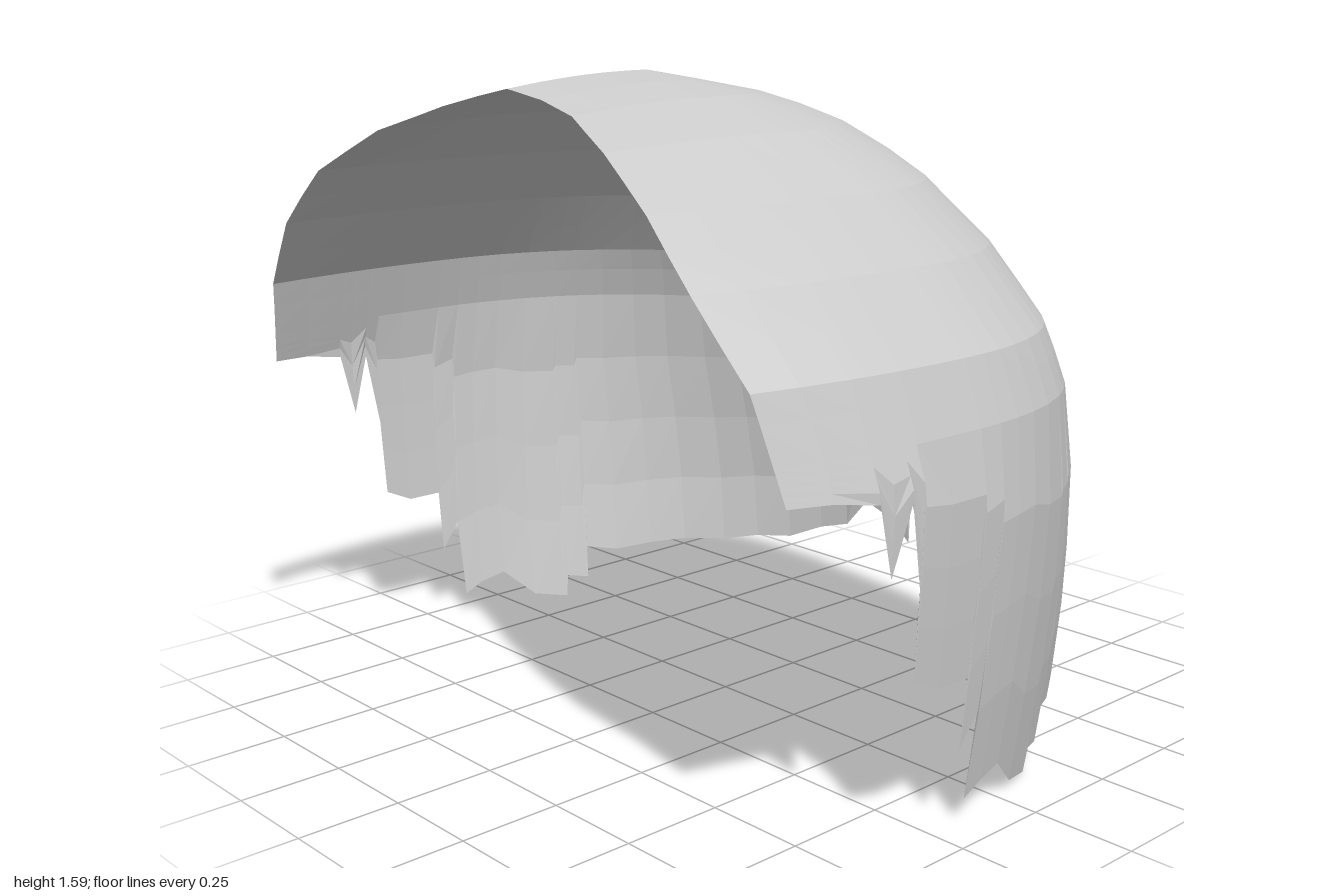
import * as THREE from 'three';

// Linear lookup in a table of [key, value] pairs
function lookup(table, k) {
  if (k <= table[0][0]) return table[0][1];
  for (let i = 1; i < table.length; i++) {
    const [k0, v0] = table[i - 1], [k1, v1] = table[i];
    if (k <= k1) return v0 + (v1 - v0) * (k - k0) / (k1 - k0);
  }
  return table[table.length - 1][1];
}

// Half width, back depth and front rim, each against height
const WIDTH = [[0, 0.92], [0.2, 0.955], [0.4, 0.975], [0.6, 0.99], [0.82, 1], [1.04, 0.93],
  [1.21, 0.79], [1.35, 0.64], [1.47, 0.44], [1.54, 0.25], [1.57, 0.12], [1.59, 0]];
const BACK = [[0, -0.79], [0.25, -0.78], [0.4, -0.77], [0.73, -0.68], [0.95, -0.62], [1, -0.6],
  [1.2, -0.5], [1.39, -0.33], [1.46, -0.23], [1.53, -0.07], [1.59, 0.25]];
const RIM = [[0.8, 0.72], [1, 0.75], [1.2, 0.785], [1.34, 0.775], [1.47, 0.72], [1.56, 0.64], [1.59, 0.65]];
const ROUNDNESS = [[0.2, 1], [0.9, 0.8], [1.59, 0.85]];
const MID_Z = 0.25; // where the shell is widest

// Ragged hem: [station, height]. Stations -1..0 run from the front rim to the
// widest point, 0..90 are degrees from there to the centre of the back.
const HEM = [[-1, 0.825], [-0.78, 0.82], [-0.55, 0.8], [-0.47, 0.64], [-0.37, 0.79], [-0.3, 0.6],
  [-0.29, 0.4], [-0.13, 0.365], [1.6, 0.365], [1.9, 0.2], [4.6, 0.27], [4.9, 0.06], [8, 0.085],
  [12, 0.1], [17, 0.02], [22.5, 0], [23, 0.06], [26.5, 0.05], [27, 0.14], [32, 0.125], [38, 0.14],
  [44, 0.15], [51, 0.15], [57, 0.165], [63, 0.17], [69, 0.21], [74, 0.23], [78, 0.31], [83, 0.27],
  [86.5, 0.21], [87.3, 0.36], [90, 0.13]];

const LEVELS = [0.9, 0.98, 1.04, 1.12, 1.21, 1.28, 1.35, 1.41, 1.47, 1.51, 1.54, 1.57, 1.583, 1.59];
const LOWER_ROWS = 4;

function shellPoint(station, y, side) {
  const w = lookup(WIDTH, y);
  if (station <= 0) {
    const f = -station;
    const drop = 0.03 * f * f * THREE.MathUtils.smoothstep(y, 1.3, 1.59);
    return [side * w * (1 - 0.06 * f * f), y - drop, MID_Z + f * (lookup(RIM, y) - MID_Z)];
  }
  const a = THREE.MathUtils.degToRad(station);
  const reach = Math.pow(Math.sin(a), lookup(ROUNDNESS, y));
  return [side * w * Math.cos(a), y, MID_Z + (lookup(BACK, y) - MID_Z) * reach];
}

function hairShell() {
  // Columns go from the left rim round the back to the right rim
  const left = HEM.map(([s, h]) => ({ s, h, side: 1 }));
  const right = left.slice(0, -1).reverse().map((c) => ({ ...c, side: -1 }));
  const columns = [...left, ...right];
  const rows = LOWER_ROWS + LEVELS.length;
  const positions = [], index = [];
  columns.forEach(({ s, h, side }, i) => {
    for (let j = 0; j < rows; j++) {
      const y = j < LOWER_ROWS ? h + (LEVELS[0] - h) * j / LOWER_ROWS : LEVELS[j - LOWER_ROWS];
      positions.push(...shellPoint(s, y, side));
      if (i < columns.length - 1 && j < rows - 1) {
        const a = i * rows + j, b = a + rows;
        index.push(a, b, a + 1, b, b + 1, a + 1);
      }
    }
  });
  const geometry = new THREE.BufferGeometry();
  geometry.setAttribute('position', new THREE.Float32BufferAttribute(positions, 3));
  geometry.setIndex(index);
  geometry.computeVertexNormals();
  return geometry;
}

export function createModel() {
  const model = new THREE.Group();
  model.name = 'hair';
  // Thin open shell of hair with a wide face opening
  const material = new THREE.MeshStandardMaterial({
    color: 0xcccccc, flatShading: true, side: THREE.DoubleSide,
  });
  const shell = new THREE.Mesh(hairShell(), material);
  shell.name = 'hairShell';
  model.add(shell);
  return model;
}
